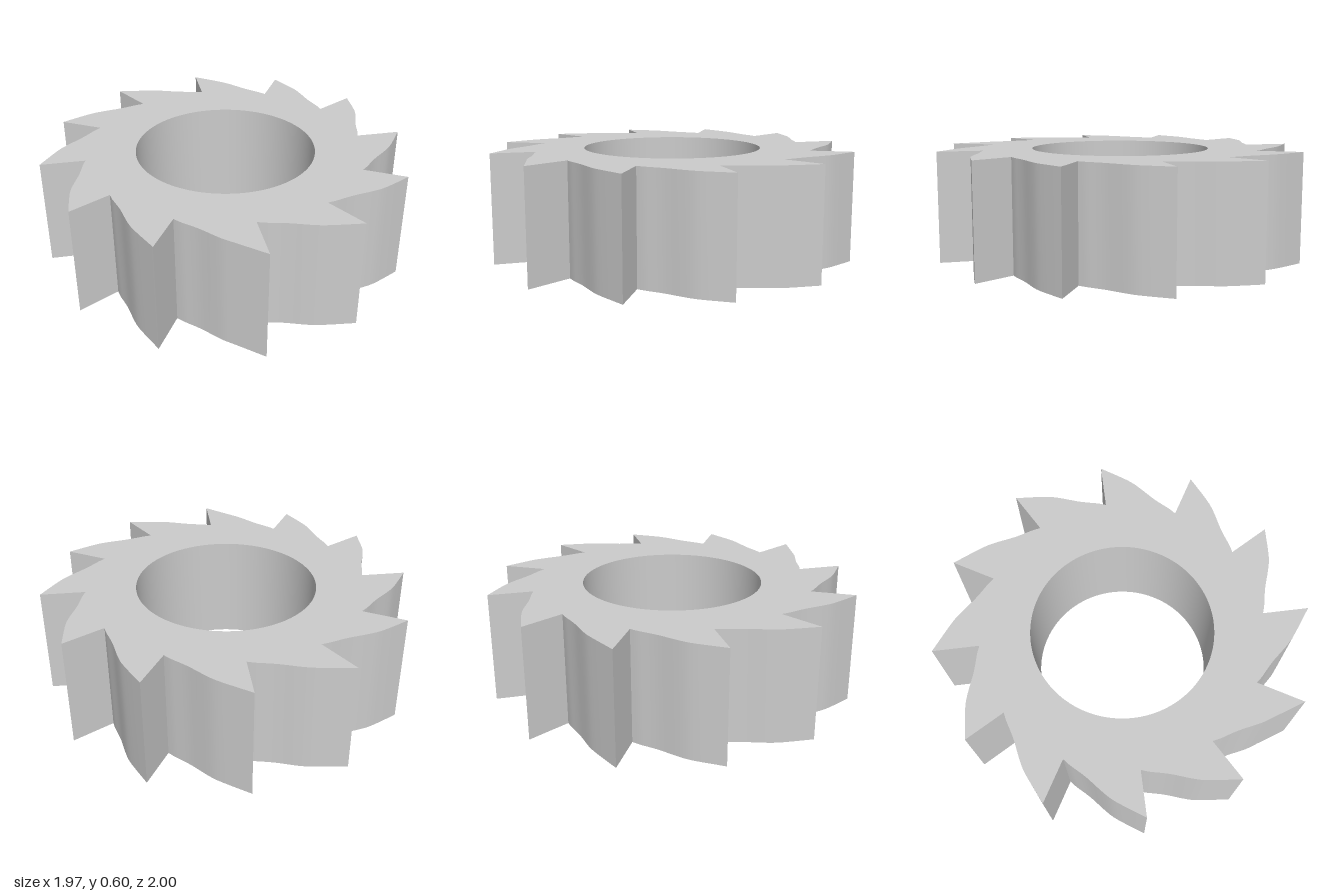
import * as THREE from 'three';
import { toCreasedNormals } from 'three/addons/utils/BufferGeometryUtils.js';

const HEIGHT = 0.595;
const CENTRE = 0.01; // the bore sits slightly towards the back
const BORE = 0.483;
const ROOT = 0.75;
const FIRST_TIP = 86.2; // degrees
// Tip radius of each tooth, clockwise from the back
const TIPS = [0.992, 0.986, 0.985, 0.987, 0.982, 0.993, 1.011, 0.99, 0.985, 0.987, 0.984, 0.997];
// Sloping back of a tooth: degrees behind the tip, radius
const BACK = [[8.3, 0.907], [12.6, 0.867], [18.8, 0.808], [22.6, 0.784], [26.7, 0.766]];

function polar(degrees, radius) {
  const a = THREE.MathUtils.degToRad(degrees);
  return new THREE.Vector2(radius * Math.cos(a), radius * Math.sin(a) + CENTRE);
}

export function createModel() {
  const group = new THREE.Group();
  group.name = 'ratchetWheel';

  // Saw-tooth outline: curved back, then a straight radial face up to the next tip
  const outline = [];
  TIPS.forEach((tip, i) => {
    const angle = FIRST_TIP - (i * 360) / TIPS.length;
    const back = new THREE.SplineCurve([
      polar(angle, tip),
      ...BACK.map(([d, r]) => polar(angle - d, r)),
      polar(angle - 30, ROOT),
    ]);
    outline.push(...back.getPoints(18));
  });
  const shape = new THREE.Shape(outline.reverse());

  // Round bore
  const bore = new THREE.Path();
  bore.absarc(0, CENTRE, BORE, 0, Math.PI * 2, true);
  shape.holes.push(bore);

  const extruded = new THREE.ExtrudeGeometry(shape, {
    depth: HEIGHT, bevelEnabled: false, curveSegments: 64,
  });
  extruded.rotateX(-Math.PI / 2);

  const wheel = new THREE.Mesh(
    toCreasedNormals(extruded, Math.PI / 6),
    new THREE.MeshStandardMaterial({ color: 0xcccccc }),
  );
  wheel.name = 'toothedRing';
  group.add(wheel);
  return group;
}
